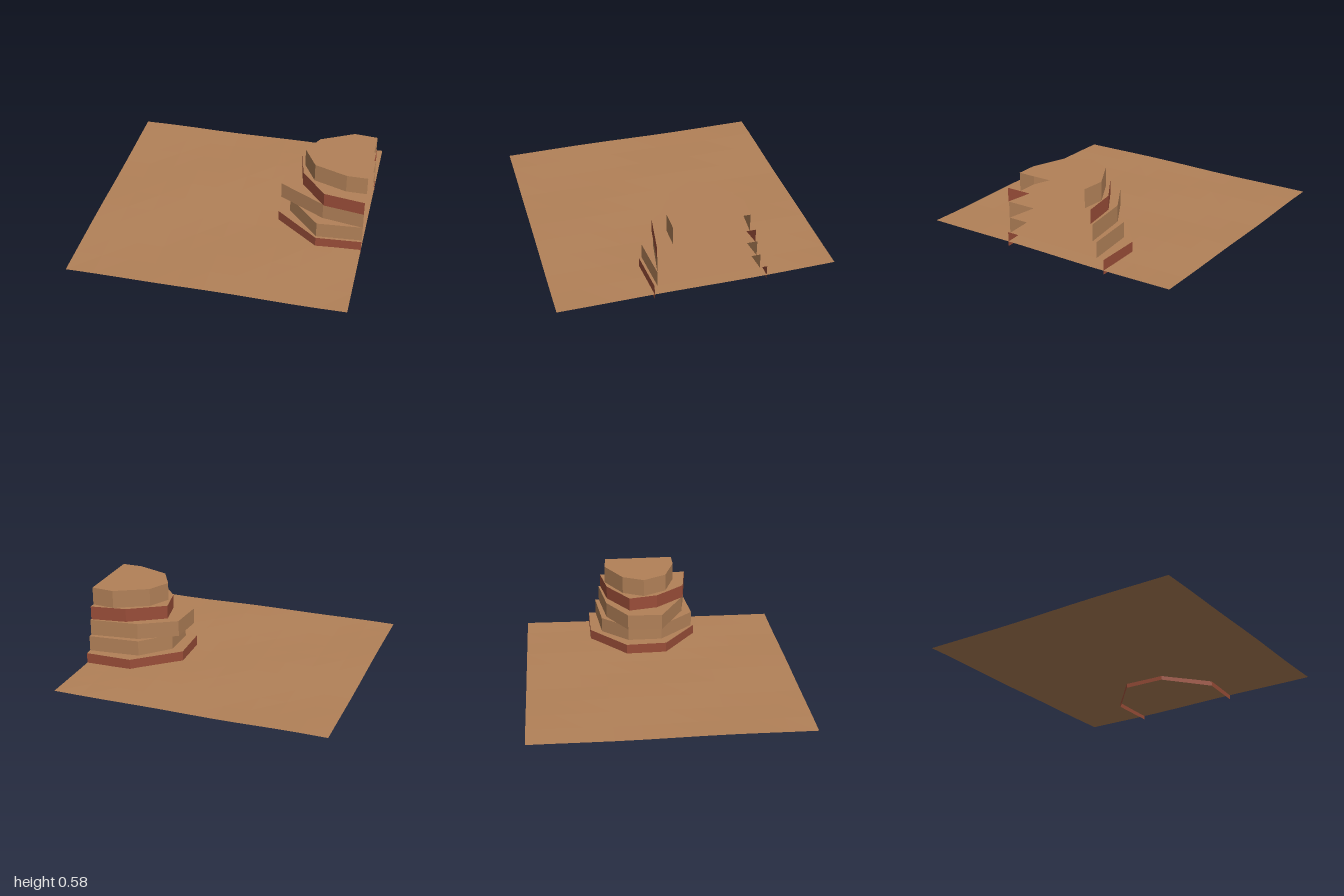
import * as THREE from 'three';

const sand = new THREE.MeshStandardMaterial({ color: 0xb28158, side: THREE.DoubleSide, flatShading: true });
sand.name = 'sandstone';
const clay = new THREE.MeshStandardMaterial({ color: 0x994d38, side: THREE.DoubleSide, flatShading: true });
clay.name = 'redClay';

// Rock strata from the bottom up: outline points [x, z] run from the back of the cut edge round to its front
const strata = [
  { y0: 0, y1: 0.107, mat: clay,
    outline: [[1, -0.49], [0.65, -0.49], [0.34, -0.22], [0.35, 0.09], [0.67, 0.345], [1, 0.32]] },
  { y0: 0.107, y1: 0.222, mat: sand,
    outline: [[1, -0.435], [0.62, -0.4], [0.43, -0.2], [0.43, 0.06], [0.67, 0.325], [1, 0.3]] },
  { y0: 0.222, y1: 0.342, mat: sand,
    outline: [[1, -0.405], [0.64, -0.36], [0.375, -0.205], [0.36, 0.06], [0.7, 0.25], [1, 0.3]] },
  { y0: 0.342, y1: 0.444, mat: clay,
    outline: [[1, -0.39], [0.735, -0.35], [0.47, -0.185], [0.515, 0.035], [0.705, 0.26], [1, 0.305]] },
  { y0: 0.444, y1: 0.578, mat: sand,
    outline: [[1, -0.345], [0.83, -0.36], [0.59, -0.23], [0.51, -0.07], [0.61, 0.11], [0.85, 0.195], [1, 0.195]] },
];

// Open band of upright faces along an outline
function wallGeometry(outline, y0, y1) {
  const pos = [];
  for (let i = 0; i < outline.length - 1; i++) {
    const [ax, az] = outline[i];
    const [bx, bz] = outline[i + 1];
    pos.push(ax, y0, az, bx, y0, bz, bx, y1, bz);
    pos.push(ax, y0, az, bx, y1, bz, ax, y1, az);
  }
  const geo = new THREE.BufferGeometry();
  geo.setAttribute('position', new THREE.Float32BufferAttribute(pos, 3));
  geo.computeVertexNormals();
  return geo;
}

// Flat top face of an outline
function capGeometry(outline, y) {
  const shape = new THREE.Shape(outline.map(([x, z]) => new THREE.Vector2(x, -z)));
  return new THREE.ShapeGeometry(shape).rotateX(-Math.PI / 2).translate(0, y, 0);
}

// Square of gently rolling ground
function groundGeometry() {
  const geo = new THREE.PlaneGeometry(2, 2, 10, 10).rotateX(-Math.PI / 2);
  const p = geo.attributes.position;
  for (let i = 0; i < p.count; i++) {
    const x = p.getX(i), z = p.getZ(i);
    p.setY(i, 0.033 + 0.004 * Math.sin(5 * x + 3.4 + z) * Math.cos(4 * z - 1.5 * x));
  }
  geo.computeVertexNormals();
  return geo;
}

export function createModel() {
  const model = new THREE.Group();
  model.name = 'desertMesa';

  const add = (parent, name, geo, mat) => {
    const mesh = new THREE.Mesh(geo, mat);
    mesh.name = name;
    parent.add(mesh);
  };

  add(model, 'ground', groundGeometry(), sand);

  // Mesa cut off flat and left open at the ground's edge
  const mesa = new THREE.Group();
  mesa.name = 'mesa';
  strata.forEach(({ y0, y1, mat, outline }, i) => {
    const layer = new THREE.Group();
    layer.name = `rockLayer${i + 1}`;
    add(layer, 'rockWall', wallGeometry(outline, y0, y1), mat);
    add(layer, 'rockTop', capGeometry(outline, y1), sand);
    mesa.add(layer);
  });
  model.add(mesa);

  return model;
}
